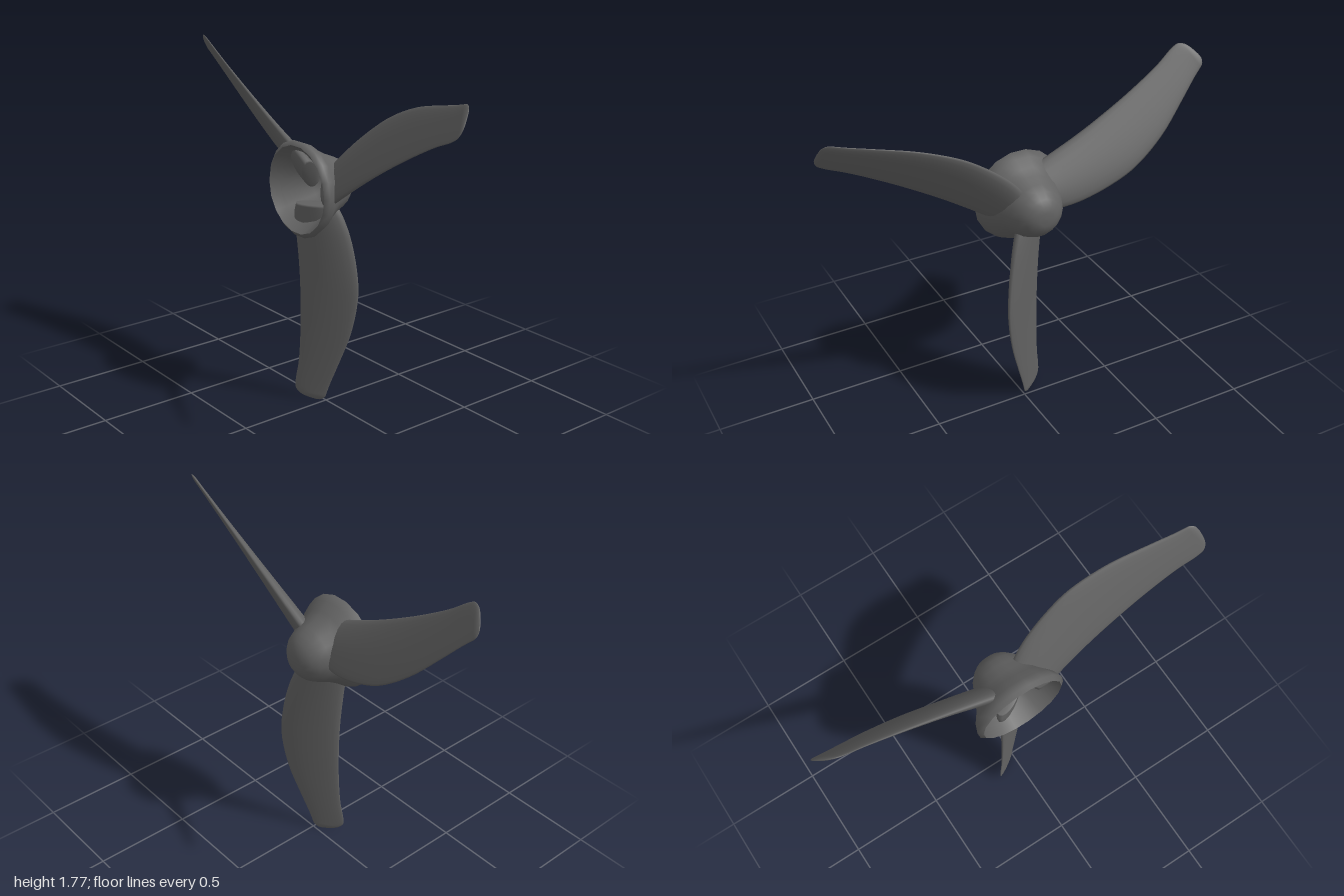
import * as THREE from 'three';

// Flat, pitched blade hanging down -y: loft of lens sections along its span
function bladeGeometry() {
  // span radius, leading edge, trailing edge (offsets along z from the rotor axis)
  const stations = new THREE.CatmullRomCurve3([
    [0.08, 0.068, -0.105], [0.137, 0.094, -0.113], [0.237, 0.125, -0.106], [0.392, 0.152, -0.095],
    [0.537, 0.16, -0.09], [0.737, 0.132, -0.09], [0.937, 0.072, -0.1], [1.042, 0.038, -0.114],
    [1.085, 0.026, -0.112], [1.112, 0.018, -0.09], [1.126, 0.006, -0.055], [1.132, -0.005, -0.028],
  ].map((p) => new THREE.Vector3(...p)));
  const rows = 55, sides = 20;
  const pitch = 0.68; // x per unit of z across the chord
  const len = Math.hypot(1, pitch);
  const pos = [], index = [];
  for (let i = 0; i <= rows; i++) {
    const s = stations.getPoint(i / rows);
    const mid = (s.y + s.z) / 2, half = (s.y - s.z) / 2;
    // thick at the root, thin at the tip
    const thick = (0.008 + 0.04 * Math.pow(1 - s.x / 1.14, 1.5)) * Math.min(1, half / 0.06);
    for (let j = 0; j < sides; j++) {
      const a = (j / sides) * Math.PI * 2;
      const w = mid + half * Math.cos(a), t = thick * Math.sin(a);
      pos.push(pitch * w - 0.016 + t / len, -s.x, w - (t * pitch) / len);
    }
  }
  const ring = (i, j) => i * sides + (j % sides);
  for (let i = 0; i < rows; i++) {
    for (let j = 0; j < sides; j++) {
      index.push(ring(i, j), ring(i + 1, j), ring(i, j + 1));
      index.push(ring(i + 1, j), ring(i + 1, j + 1), ring(i, j + 1));
    }
  }
  // root and tip caps
  for (let j = 1; j < sides - 1; j++) {
    index.push(ring(0, 0), ring(0, j), ring(0, j + 1));
    index.push(ring(rows, 0), ring(rows, j + 1), ring(rows, j));
  }
  const geo = new THREE.BufferGeometry();
  geo.setAttribute('position', new THREE.Float32BufferAttribute(pos, 3));
  geo.setIndex(index);
  geo.computeVertexNormals();
  return geo;
}

// Hollow bullet-shaped hub, open at the back: inner wall, rim, outer wall
function hubGeometry() {
  const profile = [
    [0, 0.13], [0.05, 0.122], [0.09, 0.085], [0.12, 0.035], [0.145, -0.015], [0.195, -0.1], [0.218, -0.153],
    [0.218, -0.153], [0.24, -0.135], [0.222, -0.09], [0.188, -0.045], [0.162, 0], [0.142, 0.05],
    [0.122, 0.09], [0.095, 0.12], [0.066, 0.14], [0.035, 0.149], [0, 0.15],
  ].map((p) => new THREE.Vector2(...p));
  return new THREE.LatheGeometry(profile, 18).rotateZ(-Math.PI / 2);
}

export function createModel() {
  const model = new THREE.Group();
  model.name = 'propeller';
  const material = new THREE.MeshStandardMaterial({ color: 0x626262 });

  const hub = new THREE.Mesh(hubGeometry(), material);
  hub.name = 'hub';
  hub.position.set(0, 1.146, -0.038);
  model.add(hub);

  // three equal blades around the rotor axis
  const rotor = new THREE.Group();
  rotor.name = 'blades';
  rotor.position.set(0, 1.136, -0.02);
  model.add(rotor);
  const blade = bladeGeometry();
  for (let k = 0; k < 3; k++) {
    const mesh = new THREE.Mesh(blade, material);
    mesh.name = `blade${k + 1}`;
    mesh.rotation.x = (k * Math.PI * 2) / 3;
    rotor.add(mesh);
  }
  return model;
}
